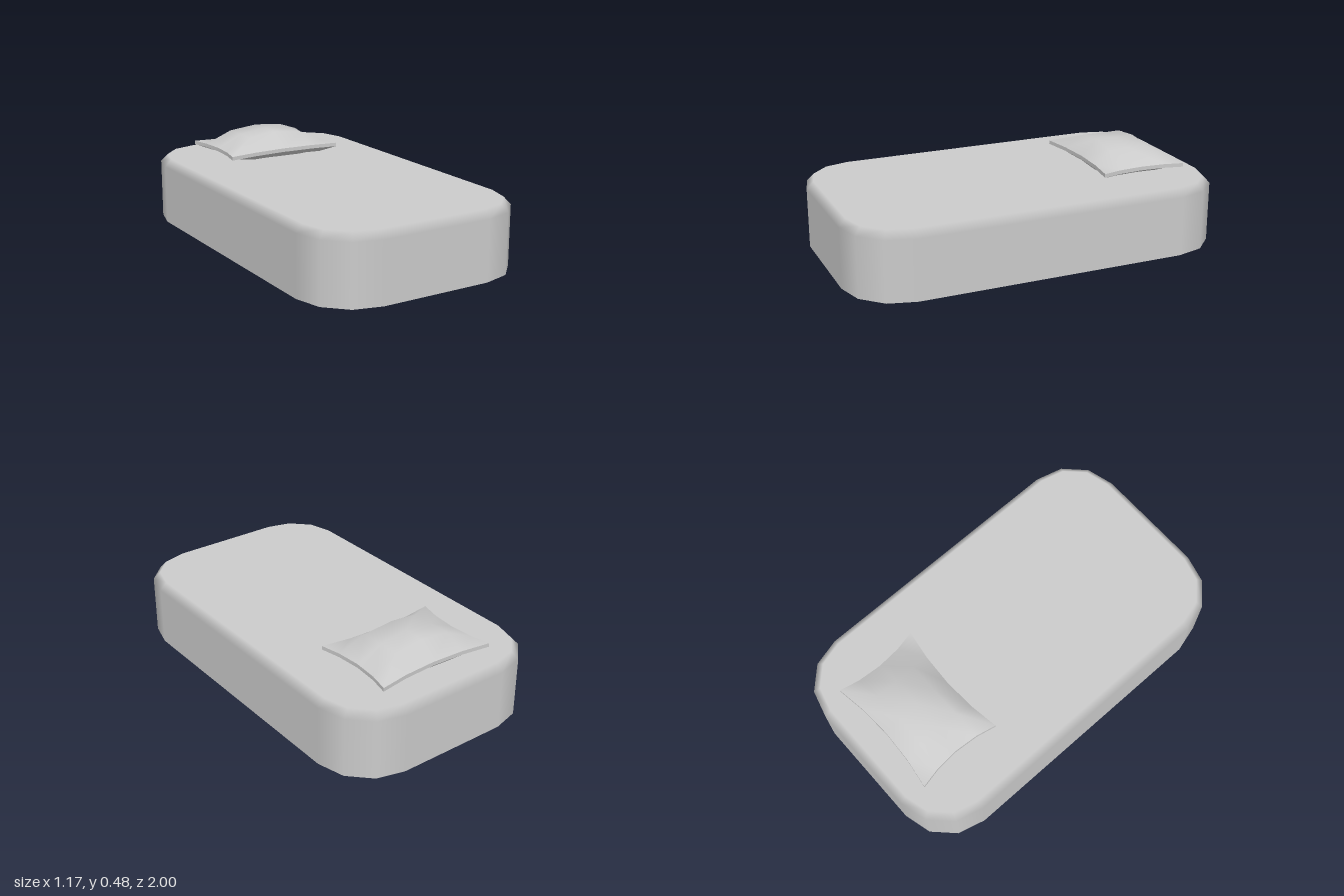
import * as THREE from 'three';

const material = new THREE.MeshStandardMaterial({ color: 0xcccccc, side: THREE.DoubleSide });

// Rounded rectangle, three segments per corner; calls add(x, z, nx, nz)
function roundedOutline(halfX, halfZ, radius, inset, add) {
  const corners = [[1, 1], [-1, 1], [-1, -1], [1, -1]];
  corners.forEach(([sx, sz], c) => {
    for (let k = 0; k <= 3; k++) {
      const a = (c + k / 3) * Math.PI / 2;
      const nx = Math.cos(a), nz = Math.sin(a), r = radius - inset;
      add(sx * (halfX - radius) + nx * r, sz * (halfZ - radius) + nz * r, nx, nz);
    }
  });
}

// Hollow shell: upright wall, softened top edge, flat top, open underneath
function createMattress() {
  const positions = [], normals = [], index = [], count = 16;
  const rings = [
    { y: 0, inset: 0, up: 0 },
    { y: 0.315, inset: 0, up: 0 },
    { y: 0.353, inset: 0.037, up: 1 },
  ];
  for (const { y, inset, up } of rings) {
    roundedOutline(0.587, 1, 0.29, inset, (x, z, nx, nz) => {
      positions.push(x, y, z);
      normals.push(nx * (1 - up), up, nz * (1 - up));
    });
  }
  const centre = rings.length * count;
  positions.push(0, 0.353, 0);
  normals.push(0, 1, 0);
  for (let i = 0; i < count; i++) {
    const j = (i + 1) % count;
    for (let r = 0; r < rings.length - 1; r++) {
      const low = r * count, high = low + count;
      index.push(low + i, high + i, low + j, low + j, high + i, high + j);
    }
    index.push(centre, centre - count + j, centre - count + i);
  }
  const geometry = new THREE.BufferGeometry();
  geometry.setAttribute('position', new THREE.Float32BufferAttribute(positions, 3));
  geometry.setAttribute('normal', new THREE.Float32BufferAttribute(normals, 3));
  geometry.setIndex(index);
  const mesh = new THREE.Mesh(geometry, material);
  mesh.name = 'mattress';
  return mesh;
}

// Box grid swollen in the middle, with pinched-in edges and a thin rim
function createPillow() {
  const geometry = new THREE.BoxGeometry(2, 2, 2, 4, 1, 4);
  const p = geometry.attributes.position;
  const columns = [-1, -0.53, 0, 0.53, 1], rows = [-1, -0.55, 0, 0.55, 1];
  const swellX = [0, 0.78, 1, 0.78, 0], swellZ = [0, 1, 1, 1, 0];
  for (let i = 0; i < p.count; i++) {
    const c = Math.round((p.getX(i) + 1) * 2), r = Math.round((p.getZ(i) + 1) * 2);
    const u = columns[c], v = rows[r];
    const height = 0.01 + 0.081 * swellX[c] * swellZ[r];
    p.setXYZ(i,
      0.33 * u * (1 - 0.1 * (1 - v * v)),
      height * Math.sign(p.getY(i)),
      0.2325 * v * (1 - 0.14 * (1 - u * u)));
  }
  geometry.computeVertexNormals();
  const mesh = new THREE.Mesh(geometry, material);
  mesh.name = 'pillow';
  mesh.position.set(0, 0.392, -0.633);
  return mesh;
}

export function createModel() {
  const group = new THREE.Group();
  group.name = 'bed';
  group.add(createMattress(), createPillow());
  return group;
}
